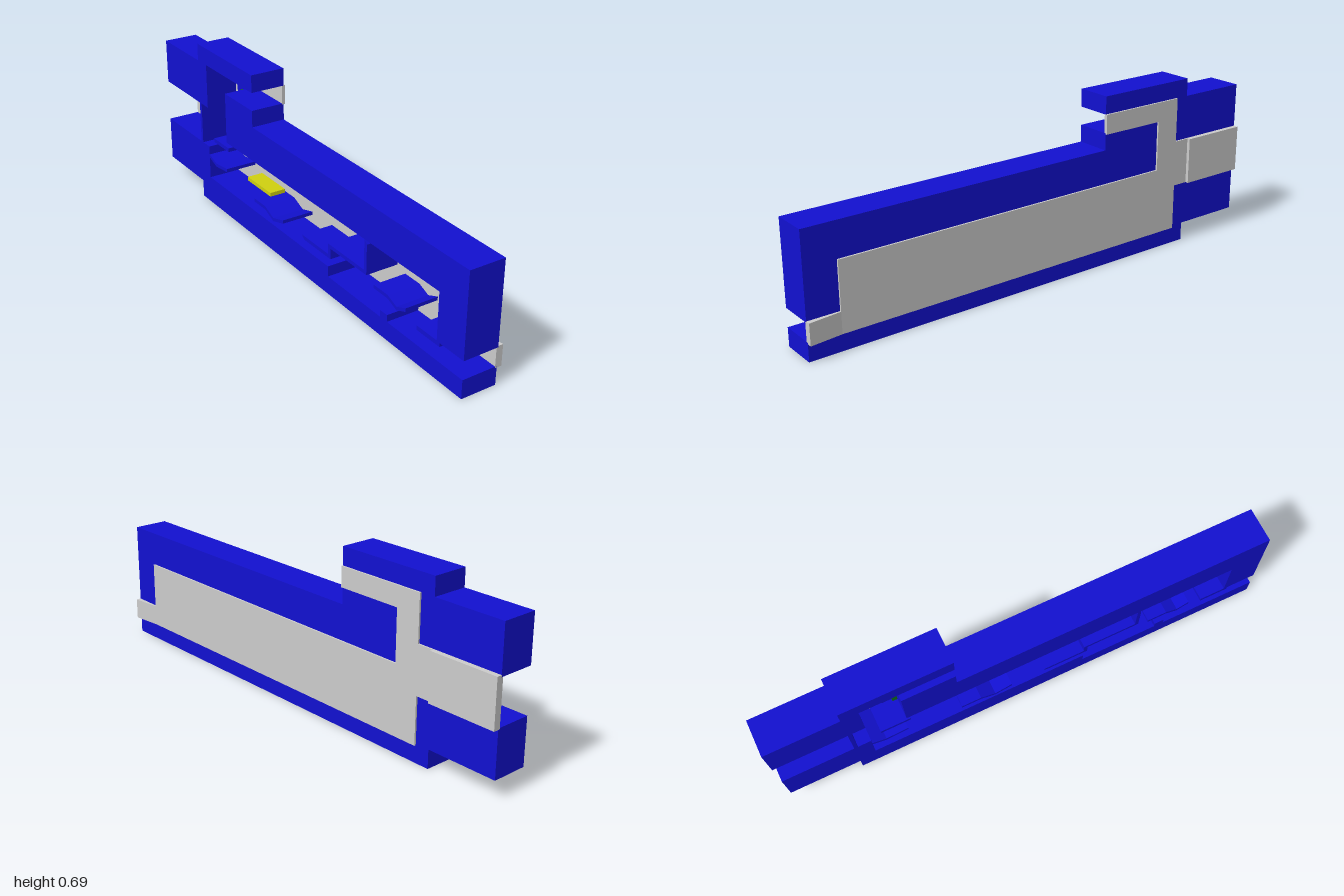
import * as THREE from 'three';

const BLUE = 0x1210d0, GREY = 0xcccccc, YELLOW = 0xd0d010, GREEN = 0x0f6a1c;
const X0 = -0.082, X1 = 0.06; // side faces of the case

export function createModel() {
  const group = new THREE.Group();
  const materials = {};
  const material = (color) => (materials[color] ??= new THREE.MeshStandardMaterial({ color, flatShading: true }));

  function add(name, geometry, color) {
    const mesh = new THREE.Mesh(geometry, material(color));
    mesh.name = name;
    group.add(mesh);
  }

  // Side profile given as [z, y] points, extruded across x
  function slab(name, points, x0, x1, color) {
    const shape = new THREE.Shape(points.map(([z, y]) => new THREE.Vector2(z, y)));
    const geometry = new THREE.ExtrudeGeometry(shape, { depth: x1 - x0, bevelEnabled: false });
    geometry.rotateY(-Math.PI / 2).translate(x1, 0, 0);
    add(name, geometry, color);
  }

  function block(name, x0, x1, y0, y1, z0, z1, color) {
    const geometry = new THREE.BoxGeometry(x1 - x0, y1 - y0, z1 - z0);
    geometry.translate((x0 + x1) / 2, (y0 + y1) / 2, (z0 + z1) / 2);
    add(name, geometry, color);
  }

  // Thin bent strip following [z, y] points, thickened by an offset
  function strip(name, path, x0, dz, dy) {
    const under = path.map(([z, y]) => [z + dz, y + dy]).reverse();
    slab(name, [...path, ...under], x0, 0.053, BLUE);
  }

  // Case: three solid pieces around the channel
  slab('lowerCase', [
    [1, 0], [1, 0.073], [0.24, 0.073], [0.24, 0.115], [-0.645, 0.115],
    [-0.645, 0.256], [-1, 0.256], [-1, 0.073], [-0.713, 0.073], [-0.713, 0],
  ], X0, X1, BLUE);
  slab('upperCase', [
    [1, 0.145], [1, 0.473], [-0.285, 0.473], [-0.285, 0.541],
    [-0.495, 0.541], [-0.495, 0.33], [0.865, 0.33], [0.865, 0.145],
  ], X0, X1, BLUE);
  slab('rearCase', [
    [-0.285, 0.614], [-0.285, 0.685], [-0.713, 0.685], [-0.713, 0.614],
    [-1, 0.614], [-1, 0.43], [-0.645, 0.43], [-0.645, 0.614],
  ], X0, X1, BLUE);
  block('upperCaseLip', 0.01, X1, 0.33, 0.541, -0.555, -0.495, BLUE);
  block('greenStrip', 0, 0.01, 0.33, 0.535, -0.515, -0.495, GREEN);

  // Cover plate closing one side of the channel
  slab('coverPlate', [
    [1, 0.067], [-0.655, 0.067], [-0.655, 0.251], [-1, 0.251], [-1, 0.437],
    [-0.655, 0.437], [-0.655, 0.615], [-0.285, 0.615], [-0.285, 0.537],
    [-0.555, 0.537], [-0.555, 0.337], [0.875, 0.337], [0.875, 0.15], [1, 0.15],
  ], 0.053, 0.067, GREY);
  block('rearTab', 0.067, 0.08, 0.251, 0.437, -1, -0.72, GREY);

  // Front tab: wedge flaring outwards towards the end
  const wedge = new THREE.Shape([
    new THREE.Vector2(0.06, -0.875), new THREE.Vector2(0.067, -0.875),
    new THREE.Vector2(0.08, -1), new THREE.Vector2(0.06, -1),
  ]);
  const wedgeGeometry = new THREE.ExtrudeGeometry(wedge, { depth: 0.083, bevelEnabled: false });
  wedgeGeometry.rotateX(-Math.PI / 2).translate(0, 0.067, 0);
  add('frontTab', wedgeGeometry, GREY);

  // Small ledges and bent strips inside the channel
  strip('steppedStrip', [[0.46, 0.33], [0.46, 0.21], [0.24, 0.21], [0.24, 0.167], [0.065, 0.167]], X0, 0.015, -0.015);
  block('frontLedge', X0, 0.053, 0.13, 0.147, 0.76, 0.88, BLUE);
  strip('frontSpring', [[0.52, 0.18], [0.6, 0.18], [0.65, 0.16], [0.7, 0.18]], X0, 0, -0.014);
  block('floorLip', X0, 0.053, 0.073, 0.1, 0.56, 0.6, BLUE);
  strip('middleSpring', [[-0.28, 0.17], [-0.2, 0.17], [-0.14, 0.145], [-0.07, 0.165]], X0, 0, -0.014);
  block('upperLedge', X0, 0.053, 0.294, 0.31, -0.6, -0.48, BLUE);
  block('rearWall', X0, 0.053, 0.256, 0.43, -0.713, -0.698, BLUE);
  strip('rearSpring', [[-0.7, 0.256], [-0.645, 0.22], [-0.59, 0.2], [-0.5, 0.21]], X0, 0, -0.014);
  block('yellowBar', -0.03, 0.037, 0.178, 0.194, -0.42, -0.245, YELLOW);

  return group;
}
